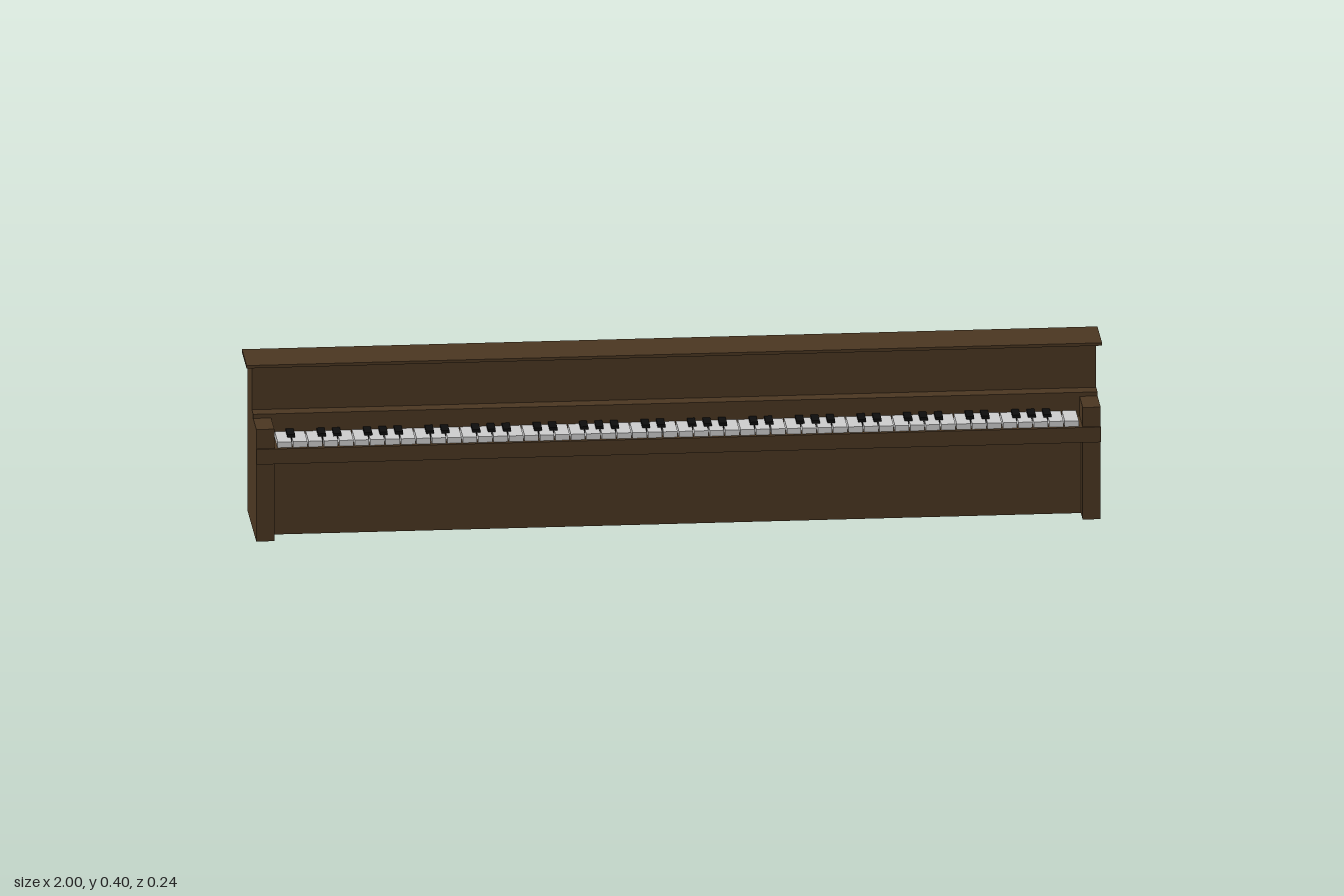
import * as THREE from 'three';

const wood = new THREE.MeshStandardMaterial({ color: 0x4a3621 });
const ivory = new THREE.MeshStandardMaterial({ color: 0xe6e6e6 });
const ebony = new THREE.MeshStandardMaterial({ color: 0x0c0c0c });

export function createModel() {
  const model = new THREE.Group();

  // Box given by its limits on each axis
  function box(name, [x0, x1], [y0, y1], [z0, z1], material = wood, parent = model) {
    const mesh = new THREE.Mesh(new THREE.BoxGeometry(x1 - x0, y1 - y0, z1 - z0), material);
    mesh.position.set((x0 + x1) / 2, (y0 + y1) / 2, (z0 + z1) / 2);
    mesh.name = name;
    parent.add(mesh);
    return mesh;
  }

  const outer = 0.987, inner = 0.945, back = -0.117;

  // Stepped end panels: leg, key arm and upper case side in one outline
  const outline = new THREE.Shape([
    [back, 0], [0.116, 0], [0.116, 0.274], [0.031, 0.274],
    [0.031, 0.284], [-0.004, 0.284], [-0.004, 0.388], [back, 0.388],
  ].map(([z, y]) => new THREE.Vector2(-z, y)));
  for (const [name, x] of [['leftSide', inner], ['rightSide', -outer]]) {
    const side = new THREE.Mesh(
      new THREE.ExtrudeGeometry(outline, { depth: outer - inner, bevelEnabled: false }), wood);
    side.rotation.y = Math.PI / 2;
    side.position.x = x;
    side.name = name;
    model.add(side);
  }

  // Case between the end panels
  const span = [-inner, inner];
  box('lowerCase', span, [0, 0.19], [back, 0.066]);
  box('keyBed', span, [0.19, 0.226], [back, 0.116]);
  box('fallBoard', span, [0.226, 0.284], [back, 0.031]);
  box('upperCase', span, [0.284, 0.388], [back, -0.004]);
  box('keySlip', [-outer, outer], [0.19, 0.227], [0.116, 0.122]);
  box('lid', [-1, 1], [0.388, 0.395], [-0.121, 0.004]);

  // Keyboard: 52 white keys from A to C, black keys after A, C, D, F and G
  const keyboard = new THREE.Group();
  keyboard.name = 'keyboard';
  model.add(keyboard);
  const count = 52, pitch = 1.876 / count;
  const hasSharp = [true, false, true, true, false, true, true];
  for (let i = 0; i < count; i++) {
    const x = -0.938 + i * pitch;
    box('whiteKey', [x + 0.0015, x + pitch - 0.0015], [0.226, 0.24], [0.031, 0.11], ivory, keyboard);
    if (hasSharp[i % 7] && i < count - 1) {
      const edge = x + pitch;
      box('blackKey', [edge - 0.009, edge + 0.009], [0.226, 0.247], [0.031, 0.077], ebony, keyboard);
    }
  }
  return model;
}
